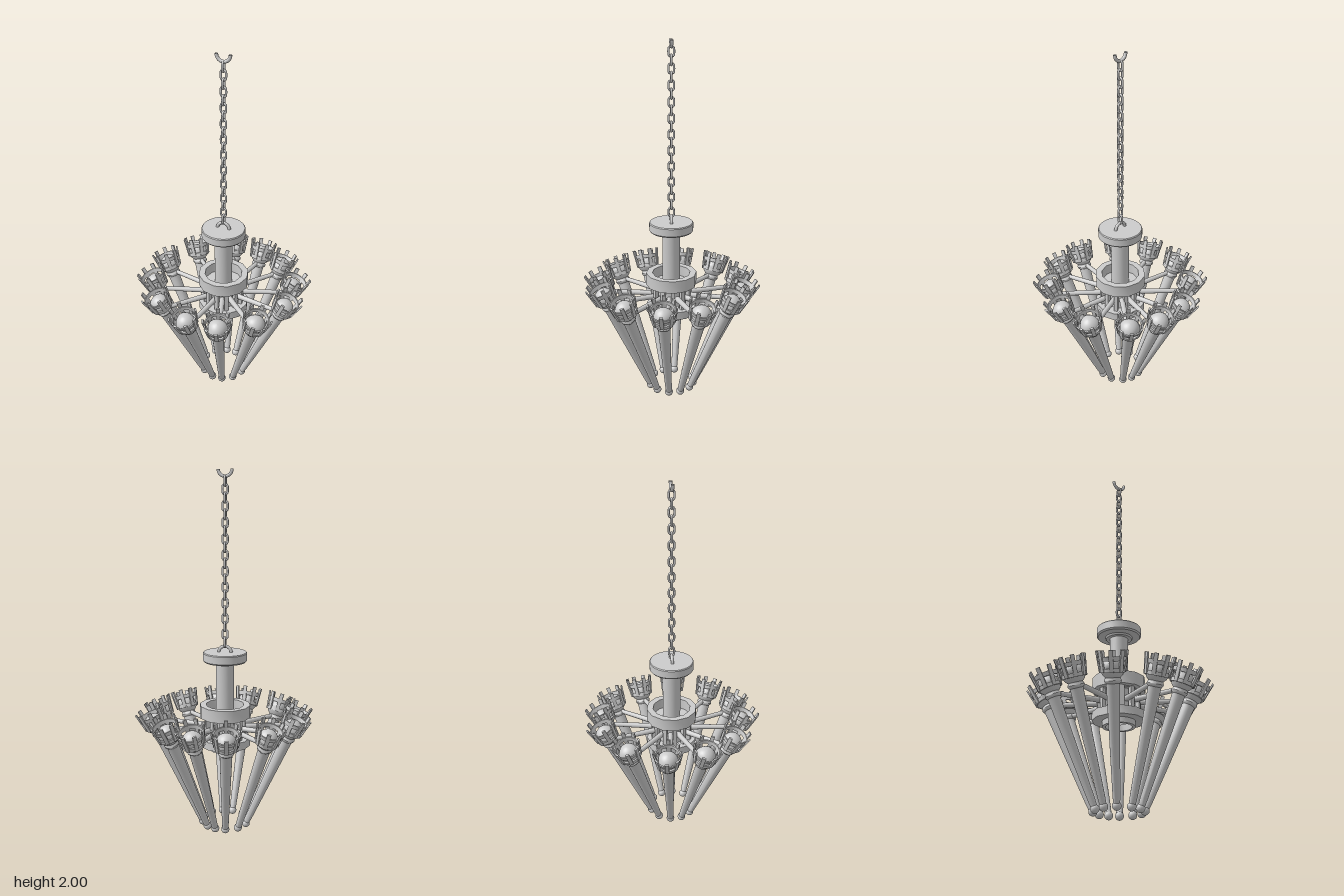
import * as THREE from 'three';
import { toCreasedNormals } from 'three/addons/utils/BufferGeometryUtils.js';

const grey = new THREE.MeshStandardMaterial({ color: 0xcccccc, side: THREE.DoubleSide });
const facetGrey = new THREE.MeshStandardMaterial({ color: 0xcccccc, flatShading: true });

function add(parent, name, geometry, material = grey) {
  const mesh = new THREE.Mesh(geometry, material);
  mesh.name = name;
  parent.add(mesh);
  return mesh;
}

function lathe(points, segments = 32) {
  const g = new THREE.LatheGeometry(points.map(([r, y]) => new THREE.Vector2(r, y)), segments);
  return toCreasedNormals(g, 0.6);
}

// Rectangular-section ring around the y axis
function band(inner, outer, y0, y1, segments) {
  return lathe([[inner, y0], [outer, y0], [outer, y1], [inner, y1], [inner, y0]], segments);
}

// Oval chain link as a tube on a stretched loop
function linkGeometry() {
  const pts = [];
  const r = 0.014, straight = 0.012;
  for (let i = 0; i < 16; i++) {
    const a = ((i + 0.5) / 16) * Math.PI * 2;
    pts.push(new THREE.Vector3(Math.cos(a) * r, Math.sin(a) * r + Math.sign(Math.sin(a)) * straight, 0));
  }
  return new THREE.TubeGeometry(new THREE.CatmullRomCurve3(pts, true), 32, 0.006, 8, true);
}

// One torch along +y, its foot ball at the origin
function createTorch() {
  const torch = new THREE.Group();
  torch.name = 'torch';
  add(torch, 'footBall', new THREE.SphereGeometry(0.023, 16, 12));
  add(torch, 'shaft', lathe([
    [0, 0], [0.017, 0.012], [0.019, 0.05], [0.033, 0.57], [0.034, 0.585], [0.041, 0.592],
    [0.043, 0.6], [0.039, 0.609], [0.038, 0.614], [0.05, 0.626], [0.058, 0.642],
    [0.053, 0.644], [0.03, 0.628], [0, 0.624]], 20));

  // Flame: a rounded dome with a soft twisting ridge
  const flame = new THREE.SphereGeometry(0.054, 24, 16);
  const p = flame.attributes.position;
  for (let i = 0; i < p.count; i++) {
    const x = p.getX(i), y = p.getY(i), z = p.getZ(i);
    const k = 1 + 0.06 * Math.sin(3 * Math.atan2(z, x) + y * 40) * (1 - Math.abs(y) / 0.054);
    p.setXYZ(i, x * k, y * 0.95, z * k);
  }
  flame.computeVertexNormals();
  add(torch, 'flame', flame).position.y = 0.663;

  // Crown: two hoops joined by flared upright bars
  add(torch, 'lowerHoop', band(0.054, 0.063, 0.638, 0.658, 20));
  add(torch, 'upperHoop', lathe([[0.061, 0.692], [0.069, 0.692], [0.072, 0.714],
    [0.065, 0.714], [0.061, 0.692]], 20));
  const barGeometry = new THREE.BoxGeometry(0.009, 0.108, 0.021);
  for (let i = 0; i < 8; i++) {
    const spoke = new THREE.Group();
    spoke.name = 'crownSpoke';
    spoke.rotation.y = (i / 8) * Math.PI * 2;
    const bar = add(spoke, 'crownBar', barGeometry, facetGrey);
    bar.position.set(0.0685, 0.692, 0);
    bar.rotation.z = -0.15;
    torch.add(spoke);
  }
  return torch;
}

export function createModel() {
  const model = new THREE.Group();
  model.name = 'torchChandelier';

  // Hanging hardware, turned as one about the y axis
  const chain = new THREE.Group();
  chain.name = 'chain';
  chain.rotation.y = 0.49;
  model.add(chain);
  const hook = add(chain, 'ceilingHook', new THREE.TorusGeometry(0.037, 0.009, 10, 20, Math.PI));
  hook.position.y = 2;
  hook.rotation.z = Math.PI;
  const eye = add(chain, 'canopyEye', new THREE.TorusGeometry(0.035, 0.009, 10, 20, Math.PI));
  eye.position.y = 1.018;
  const link = linkGeometry();
  const count = 21, low = 1.056, high = 1.961, pitch = (high - low) / count;
  for (let i = 0; i < count; i++) {
    const m = add(chain, 'chainLink', link);
    m.position.y = low + pitch * (i + 0.5);
    m.rotation.y = i % 2 ? 0 : Math.PI / 2;
  }

  // Canopy disc and stem
  add(model, 'canopy', lathe([[0, 0.955], [0.07, 0.955], [0.074, 0.965], [0.115, 0.967],
    [0.122, 0.975], [0.122, 1.016], [0.118, 1.021], [0, 1.021]], 40));
  add(model, 'stem', lathe([[0, 0.5], [0.05, 0.5], [0.05, 0.96]], 24));

  // Hub cage: two faceted rings, an open drum and uprights
  add(model, 'upperRing', band(0.107, 0.143, 0.65, 0.72, 12));
  add(model, 'upperRingFloor', band(0.045, 0.11, 0.645, 0.66, 12));
  add(model, 'lowerRing', band(0.08, 0.143, 0.485, 0.53, 12));
  add(model, 'lowerCollar', band(0.07, 0.088, 0.455, 0.49, 24));
  add(model, 'drum', band(0.07, 0.083, 0.52, 0.655, 24));
  const upright = new THREE.BoxGeometry(0.022, 0.13, 0.022);
  for (let i = 0; i < 12; i++) {
    const a = (i / 12) * Math.PI * 2;
    const m = add(model, 'cageUpright', upright, facetGrey);
    m.position.set(Math.cos(a) * 0.105, 0.59, -Math.sin(a) * 0.105);
    m.rotation.y = a;
  }

  // Twelve slightly uneven arms, each holding a leaning torch
  const angles = [80, 48.5, 19, -13.5, -43.5, -70, -103, -133, -163, 164.5, 131, 105];
  const arm = new THREE.CylinderGeometry(0.012, 0.016, 0.29, 12);
  for (const degrees of angles) {
    const side = new THREE.Group();
    side.name = 'torchArm';
    side.rotation.y = THREE.MathUtils.degToRad(degrees);
    const rod = add(side, 'armRod', arm);
    rod.position.set(0.222, 0.588, 0);
    rod.rotation.z = -Math.PI / 2;
    const torch = createTorch();
    torch.position.set(0.13, 0.023, 0);
    torch.rotation.z = -0.412;
    side.add(torch);
    model.add(side);
  }
  return model;
}
